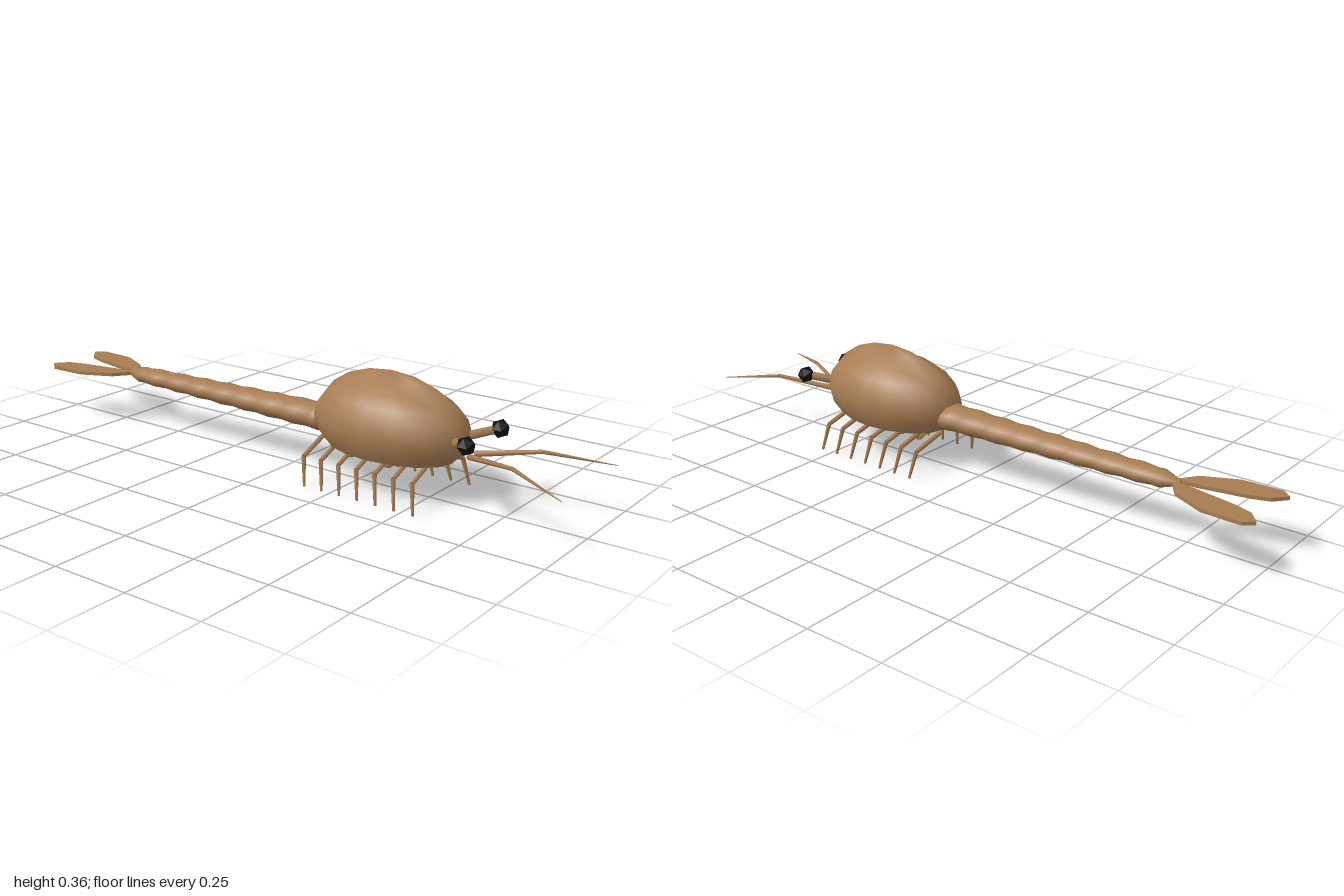
import * as THREE from 'three';
import { mergeVertices } from 'three/addons/utils/BufferGeometryUtils.js';

const V = (x, y, z) => new THREE.Vector3(x, y, z);

export function createModel() {
  const root = new THREE.Group();
  const mat = (name, color, extra = {}) => new THREE.MeshStandardMaterial({ name, color, ...extra });
  const shell = mat('brown shell', 0xa67c52, { side: THREE.DoubleSide });
  const black = mat('black eye', 0x111111);
  const yellow = mat('yellow egg', 0xb8a04f);

  const add = (name, geo, material, parent = root) => {
    const m = new THREE.Mesh(geo, material);
    m.name = name;
    parent.add(m);
    return m;
  };

  // tapered rod between two points
  const rod = (name, a, b, ra, rb, parent, sides = 6) => {
    const d = b.clone().sub(a);
    const m = add(name, new THREE.CylinderGeometry(rb, ra, d.length(), sides), shell, parent);
    m.position.copy(a).add(b).multiplyScalar(0.5);
    m.quaternion.setFromUnitVectors(V(0, 1, 0), d.normalize());
    return m;
  };

  // carapace: ellipsoid cut open below, drawn up to a keel along the back
  let dome = new THREE.SphereGeometry(1, 16, 7, 0, Math.PI * 2, 0, Math.PI * 0.7);
  dome.deleteAttribute('uv');
  dome.deleteAttribute('normal');
  const p = dome.attributes.position;
  for (let i = 0; i < p.count; i++) {
    const x = p.getX(i) * 0.155, dy = p.getY(i) * 0.137;
    const lift = Math.max(0, dy) * 0.2 * Math.max(0, 1 - Math.abs(x) / 0.04);
    p.setXYZ(i, x, 0.2 + dy + lift, 0.36 + p.getZ(i) * 0.26);
  }
  dome = mergeVertices(dome, 1e-5);
  dome.computeVertexNormals();
  add('carapace', dome, shell);

  // abdomen: ringed, tapering, slightly flattened
  const rings = 8, steps = 4, length = 0.80;
  const profile = [new THREE.Vector2(0, 0), new THREE.Vector2(0.05, 0.003)];
  for (let i = 1; i <= rings * steps; i++) {
    const t = i / (rings * steps);
    const bump = 0.0025 * Math.sin((i / steps) * Math.PI * 2);
    profile.push(new THREE.Vector2(0.059 - 0.022 * t + bump, t * length));
  }
  profile.push(new THREE.Vector2(0.012, 0.855), new THREE.Vector2(0, 0.86));
  const tail = add('abdomen', new THREE.LatheGeometry(profile, 12), shell);
  tail.rotation.x = -Math.PI / 2;
  tail.scale.z = 0.71;
  tail.position.set(0, 0.174, 0.14);

  // egg cluster under the body
  const eggs = new THREE.Group();
  eggs.name = 'eggs';
  root.add(eggs);
  for (let row = 0; row < 3; row++) {
    for (let col = -1; col <= 1; col++) {
      const egg = add('egg', new THREE.SphereGeometry(0.019, 7, 6), yellow, eggs);
      egg.position.set(col * (0.047 - row * 0.005), 0.099 + (row % 2) * 0.004,
        0.385 - row * 0.07 - (col + 1) * 0.012);
    }
  }

  // paired parts
  for (const s of [1, -1]) {
    const side = new THREE.Group();
    side.name = s > 0 ? 'leftSide' : 'rightSide';
    root.add(side);

    // stalked eyes
    rod('eyeStalk', V(s * 0.03, 0.199, 0.59), V(s * 0.097, 0.222, 0.67), 0.014, 0.013, side);
    add('eye', new THREE.IcosahedronGeometry(0.029), black, side).position.set(s * 0.097, 0.222, 0.67);

    // antennae in two tapering pieces
    const bend = V(s * 0.088, 0.184, 0.81);
    rod('antennaBase', V(s * 0.016, 0.16, 0.635), bend, 0.009, 0.006, side);
    rod('antennaTip', bend, V(s * 0.172, 0.161, 0.998), 0.006, 0.001, side);

    // seven walking legs
    for (let i = 0; i < 7; i++) {
      const z = 0.543 - i * 0.064;
      const knee = V(s * 0.14, 0.09, z - 0.016);
      rod('upperLeg', V(s * 0.035, 0.124, z - 0.024), knee, 0.008, 0.007, side);
      rod('lowerLeg', knee, V(s * 0.158, 0.002, z), 0.007, 0.004, side);
    }

    // flat tail blade
    const outline = [[0.008, -0.71], [0.013, -0.765], [0.04, -0.91], [0.058, -0.965],
      [0.1, -1.0], [0.125, -0.97], [0.12, -0.845], [0.07, -0.74], [0.015, -0.70]];
    const shape = new THREE.Shape(outline.map(([x, z]) => new THREE.Vector2(s * x, -z)));
    const blade = new THREE.ExtrudeGeometry(shape, { depth: 0.011, bevelEnabled: false });
    const fan = add('tailBlade', blade, shell, side);
    fan.rotation.x = -Math.PI / 2;
    fan.position.y = 0.168;
  }
  return root;
}
